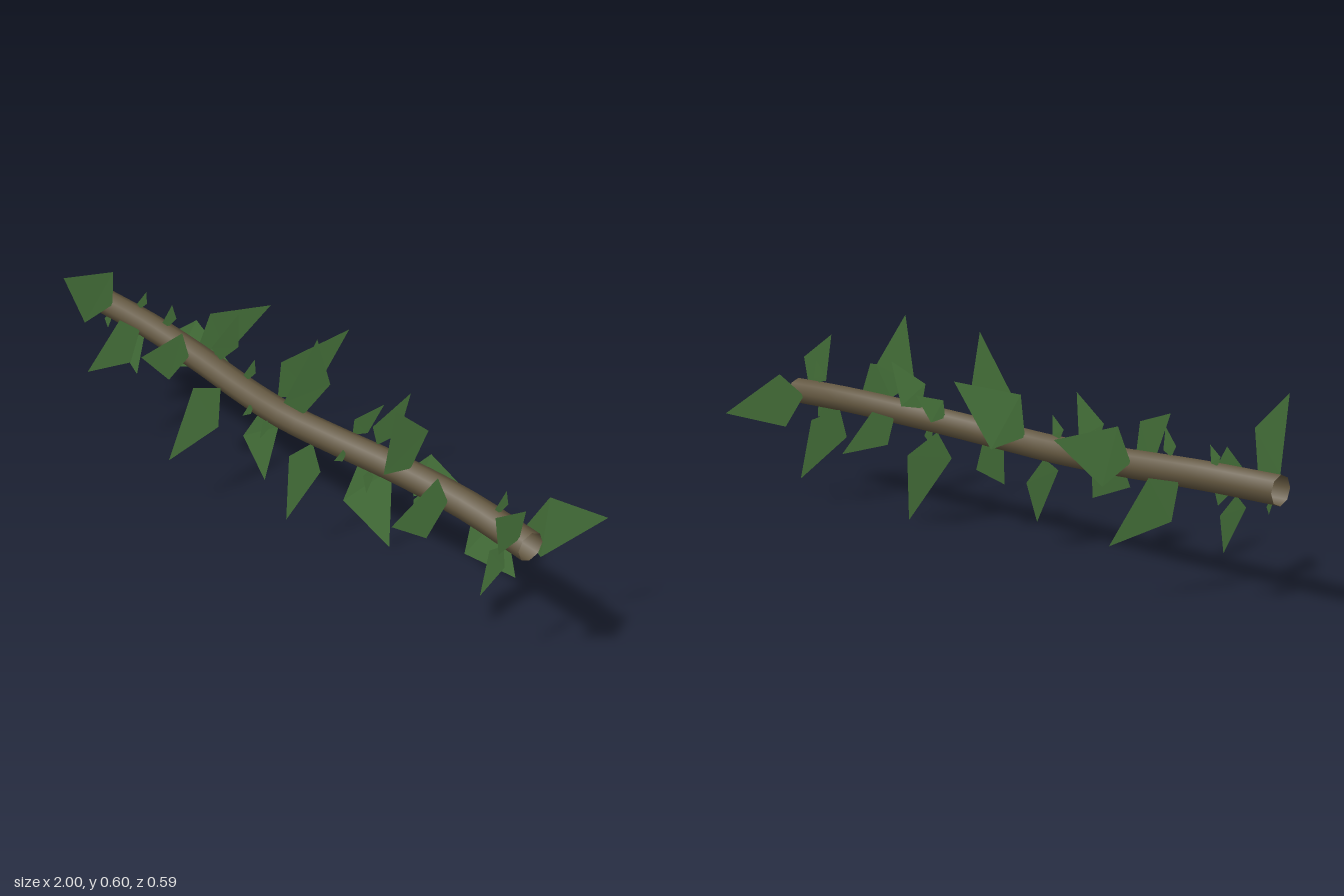
import * as THREE from 'three';

export function createModel() {
  const model = new THREE.Group();
  const bark = new THREE.MeshStandardMaterial({ color: 0x62563f, side: THREE.DoubleSide });
  bark.name = 'barkBrown';
  const green = new THREE.MeshStandardMaterial({ color: 0x5f9850, side: THREE.DoubleSide });
  green.name = 'leafGreen';

  // gently wavy hollow stem along x
  const path = new THREE.CatmullRomCurve3([
    [-1, 0.327, 0.01], [-0.74, 0.325, 0.004], [-0.47, 0.313, 0.007], [-0.2, 0.303, 0.022],
    [0, 0.305, 0.03], [0.2, 0.313, 0.022], [0.45, 0.323, 0.006], [0.72, 0.327, 0], [0.965, 0.32, 0.01],
  ].map(p => new THREE.Vector3(...p)));
  const stem = new THREE.Mesh(new THREE.TubeGeometry(path, 24, 0.042, 8, false), bark);
  stem.name = 'stem';
  model.add(stem);

  // kite-shaped leaf from the stem surface to its tip, leaning toward +x
  function leaf(x, y, z) {
    const tip = new THREE.Vector3(x, y, z);
    const centre = path.getPointAt(THREE.MathUtils.clamp((x - 0.04 + 1) / 1.965, 0, 1));
    const out = new THREE.Vector3(0, y - centre.y, z - centre.z);
    const length = out.length() - 0.036;
    out.normalize();
    const across = new THREE.Vector3(1, 0, 0).cross(out);
    const base = tip.clone().addScaledVector(out, -length);
    base.x -= 0.24 * length;
    const middle = base.clone().addScaledVector(out, 0.28 * length);
    middle.x += 0.06 * length;
    const sideA = middle.clone().addScaledVector(across, 0.33 * length);
    const sideB = middle.clone().addScaledVector(across, -0.33 * length);
    const geometry = new THREE.BufferGeometry().setFromPoints(
      [base, sideB, sideA, sideA, sideB, tip]);
    geometry.computeVertexNormals();
    const mesh = new THREE.Mesh(geometry, green);
    mesh.name = 'leaf';
    model.add(mesh);
  }

  // tips of the large leaves
  [
    [-0.84, 0.527, 0.254], [-0.82, 0.123, 0.01], [-0.69, 0.267, 0.28], [-0.63, 0.153, -0.234],
    [-0.62, 0.44, 0], [-0.46, 0.419, -0.268], [-0.425, 0.41, 0.255], [-0.33, 0.5, -0.04],
    [-0.24, 0.152, 0.296], [-0.09, 0.063, 0.052], [-0.02, 0.511, -0.216], [0.13, 0.608, 0.032],
    [0.185, 0.105, 0.19], [0.27, 0.415, -0.1], [0.36, 0.003, -0.052], [0.39, 0.503, -0.09],
    [0.5, 0.213, -0.198], [0.58, 0.6, 0.14], [0.745, 0.385, 0.295], [0.785, 0.076, -0.135],
    [0.93, 0.21, 0.15], [0.995, 0.484, 0.177], [0.958, 0.288, -0.295],
  ].forEach(tip => leaf(...tip));

  // tips of the small leaves
  [
    [-0.95, 0.25, 0.03], [-0.79, 0.42, -0.02], [-0.8, 0.29, 0.11], [-0.58, 0.225, 0.04],
    [-0.39, 0.4, -0.03], [-0.2, 0.41, 0], [-0.12, 0.29, 0.11], [-0.05, 0.24, 0.1],
    [0.3, 0.32, 0.11], [0.37, 0.225, 0.05], [0.57, 0.24, 0.05], [0.86, 0.435, 0],
  ].forEach(tip => leaf(...tip));

  return model;
}
